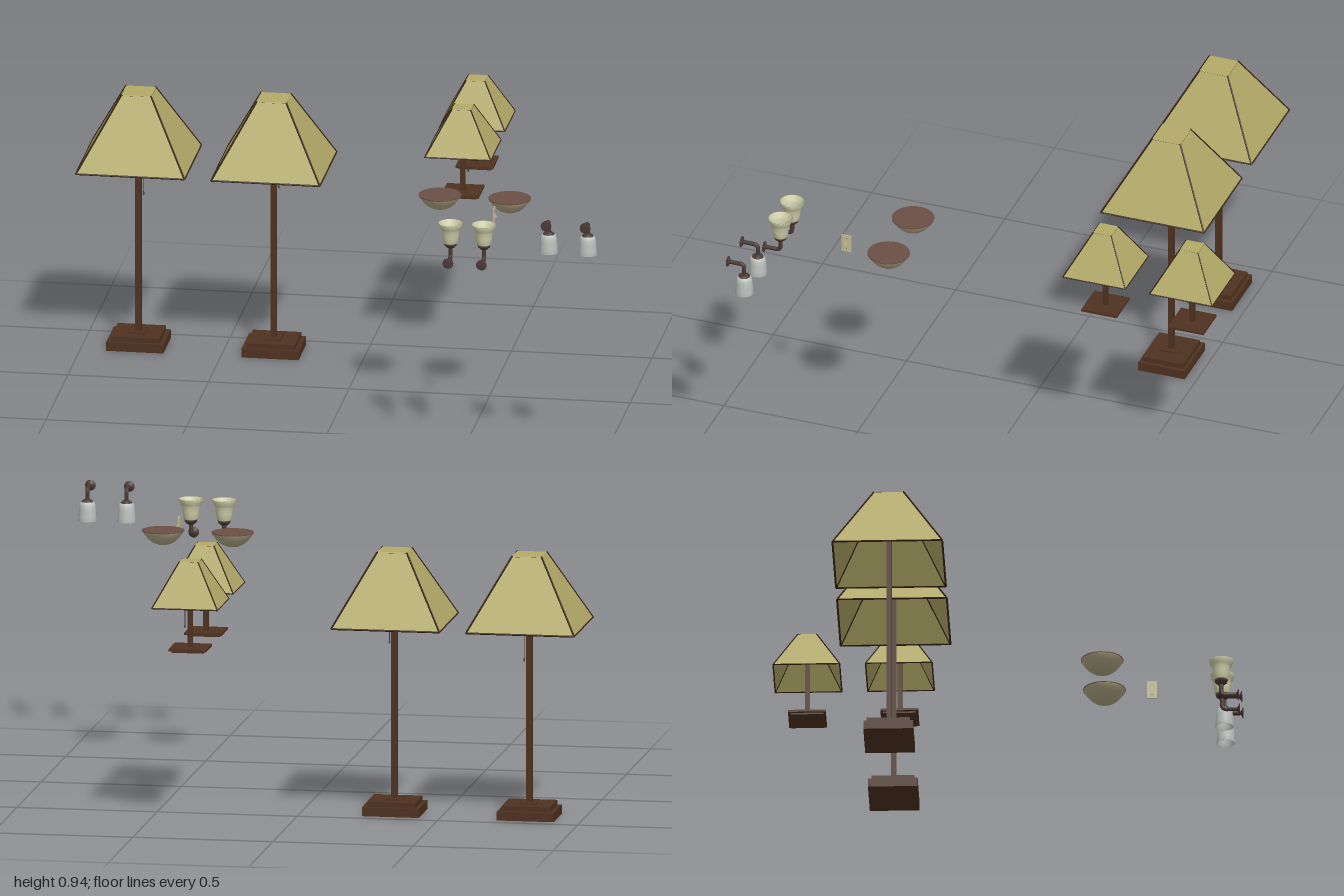
import * as THREE from 'three';

const mat = (color) => new THREE.MeshStandardMaterial({ color, side: THREE.DoubleSide });
const flat = (color) => new THREE.MeshStandardMaterial({ color, side: THREE.DoubleSide, flatShading: true });
const fabric = flat(0xb3aa68), wood = flat(0x4f3220), trim = flat(0x3a2818);
const bronze = mat(0x4a3a36), canopy = mat(0x6b4f45), bowlGlass = mat(0xb5aa88);
const creamGlass = mat(0xd0d0ac), greyGlass = mat(0xbcc2be), plateMat = mat(0xc4bf98);

function add(parent, name, geometry, material, x = 0, y = 0, z = 0) {
  const mesh = new THREE.Mesh(geometry, material);
  mesh.name = name;
  mesh.position.set(x, y, z);
  parent.add(mesh);
  return mesh;
}
const box = (w, h, d) => new THREE.BoxGeometry(w, h, d);
const lathe = (pts, seg = 28) => new THREE.LatheGeometry(pts.map(([r, y]) => new THREE.Vector2(r, y)), seg);

// Thin square bar between two points
function bar(parent, name, a, b, r, material) {
  const dir = b.clone().sub(a);
  const mesh = add(parent, name, new THREE.CylinderGeometry(r, r, dir.length(), 4), material);
  mesh.position.copy(a).add(b).multiplyScalar(0.5);
  mesh.quaternion.setFromUnitVectors(new THREE.Vector3(0, 1, 0), dir.normalize());
}

// Square tapered shade, open below, with dark strips along its edges
function shade(parent, y0, y1, bottom, top, r) {
  const g = new THREE.Group();
  g.name = 'shade';
  const panels = new THREE.CylinderGeometry(top * Math.SQRT2, bottom * Math.SQRT2, y1 - y0, 4, 1, true);
  panels.rotateY(Math.PI / 4);
  add(g, 'shadePanels', panels, fabric, 0, (y0 + y1) / 2, 0);
  add(g, 'shadeTop', box(top * 2, 0.002, top * 2), fabric, 0, y1 - 0.001, 0);
  const corner = (i, h, y) => new THREE.Vector3(
    [1, 1, -1, -1][i % 4] * h, y, [1, -1, -1, 1][i % 4] * h);
  for (let i = 0; i < 4; i++) {
    bar(g, 'shadeRib', corner(i, bottom, y0), corner(i, top, y1), r, trim);
    bar(g, 'shadeRim', corner(i, bottom, y0), corner(i + 1, bottom, y0), r, trim);
    bar(g, 'shadeTopRim', corner(i, top, y1 - r), corner(i + 1, top, y1 - r), r * 0.6, trim);
  }
  parent.add(g);
}

// Pull chain with a small weight
function chain(parent, x, y0, y1) {
  add(parent, 'pullChain', new THREE.CylinderGeometry(0.0013, 0.0013, y1 - y0, 6), bronze, x, (y0 + y1) / 2, 0);
  add(parent, 'chainWeight', new THREE.CylinderGeometry(0.002, 0.003, 0.014, 8), bronze, x, y0 + 0.007, 0);
}

// Bulb and socket hidden in the shade
function socket(parent, y, s) {
  add(parent, 'socket', new THREE.CylinderGeometry(0.018 * s, 0.014 * s, 0.04 * s, 12), bronze, 0, y, 0);
  add(parent, 'bulb', new THREE.SphereGeometry(0.022 * s, 14, 10), creamGlass, 0, y + 0.036 * s, 0);
}

function floorLamp(x, chainEnd) {
  const g = new THREE.Group();
  g.name = 'floorLamp';
  add(g, 'baseLower', box(0.203, 0.032, 0.175), wood, 0, 0.016, 0);
  add(g, 'baseUpper', box(0.172, 0.018, 0.152), wood, 0, 0.041, 0);
  add(g, 'poleFoot', box(0.06, 0.006, 0.07), wood, 0, 0.052, 0);
  add(g, 'pole', box(0.021, 0.75, 0.019), wood, 0, 0.42, 0);
  socket(g, 0.81, 1);
  shade(g, 0.685, 0.94, 0.193, 0.052, 0.0035);
  chain(g, 0.018, chainEnd, 0.8);
  g.position.set(x, 0, -0.372);
  return g;
}

function tableLamp(z) {
  const g = new THREE.Group();
  g.name = 'tableLamp';
  add(g, 'baseLower', box(0.115, 0.006, 0.115), wood, 0, 0.621, 0);
  add(g, 'baseUpper', box(0.133, 0.008, 0.133), wood, 0, 0.628, 0);
  add(g, 'pole', box(0.018, 0.22, 0.017), wood, 0, 0.74, 0);
  socket(g, 0.86, 0.7);
  shade(g, 0.785, 0.94, 0.117, 0.033, 0.0025);
  chain(g, 0.019, 0.7, 0.86);
  g.position.set(0.347, 0, z);
  return g;
}

// Shallow glass bowl under a round plate
function ceilingLight(x) {
  const g = new THREE.Group();
  g.name = 'ceilingLight';
  add(g, 'bowl', lathe([[0, 0.799], [0.02, 0.801], [0.038, 0.808], [0.052, 0.819],
    [0.062, 0.831], [0.07, 0.841], [0.074, 0.85]], 32), bowlGlass);
  add(g, 'ceilingPlate', new THREE.CylinderGeometry(0.075, 0.075, 0.003, 32), canopy, 0, 0.8505, 0);
  g.position.set(x, 0, 0.337);
  return g;
}

// Wall plate and bent arm; dir is +1 when the arm turns up, -1 when it turns down
function wallArm(g, y, dir, reach) {
  const plate = lathe([[0, 0.012], [0.007, 0.01], [0.012, 0.005], [0.019, 0.003], [0.019, 0], [0, 0]], 20);
  plate.rotateX(-Math.PI / 2);
  add(g, 'wallPlate', plate, bronze, 0, y, 0.062);
  const path = new THREE.CurvePath();
  const v = (py, pz) => new THREE.Vector3(0, py, pz);
  path.add(new THREE.LineCurve3(v(y, 0.06), v(y, 0.016)));
  path.add(new THREE.QuadraticBezierCurve3(v(y, 0.016), v(y, 0), v(y + dir * 0.016, 0)));
  path.add(new THREE.LineCurve3(v(y + dir * 0.016, 0), v(y + dir * reach, 0)));
  add(g, 'arm', new THREE.TubeGeometry(path, 24, 0.0075, 10), bronze);
}

// Sconce with its flared glass opening upward
function upSconce(x) {
  const g = new THREE.Group();
  g.name = 'upSconce';
  wallArm(g, 0.758, 1, 0.05);
  add(g, 'cup', lathe([[0, 0.797], [0.012, 0.798], [0.021, 0.806], [0.024, 0.815], [0, 0.818]], 20), bronze);
  add(g, 'glassShade', lathe([[0.02, 0.812], [0.026, 0.818], [0.029, 0.84], [0.032, 0.862],
    [0.036, 0.868], [0.04, 0.878], [0.044, 0.889], [0.041, 0.889], [0.034, 0.87], [0.029, 0.862], [0.025, 0.82]]), creamGlass);
  add(g, 'bulb', new THREE.SphereGeometry(0.02, 16, 12), greyGlass, 0, 0.845, 0);
  g.position.set(x, 0, 0.752);
  return g;
}

// Sconce with its bell glass hanging down
function downSconce(x) {
  const g = new THREE.Group();
  g.name = 'downSconce';
  wallArm(g, 0.914, -1, 0.05);
  add(g, 'cap', lathe([[0, 0.876], [0.012, 0.875], [0.02, 0.868], [0.022, 0.86], [0, 0.858]], 20), bronze);
  add(g, 'glassShade', lathe([[0.016, 0.868], [0.024, 0.864], [0.028, 0.855], [0.03, 0.84],
    [0.031, 0.815], [0.033, 0.798], [0.03, 0.798], [0.028, 0.82], [0.025, 0.855]]), greyGlass);
  add(g, 'bulb', new THREE.SphereGeometry(0.018, 16, 12), creamGlass, 0, 0.835, 0);
  g.position.set(x, 0, 0.752);
  return g;
}

// Thin upright plate with a small toggle
function wallSwitch() {
  const g = new THREE.Group();
  g.name = 'wallSwitch';
  add(g, 'switchPlate', box(0.004, 0.066, 0.036), plateMat);
  add(g, 'toggle', box(0.008, 0.012, 0.005), plateMat, 0.004, 0.002, 0).rotation.z = 0.4;
  for (const y of [-0.02, 0.02]) {
    add(g, 'screw', new THREE.CylinderGeometry(0.0016, 0.0016, 0.005, 8), bronze, 0, y, 0).rotation.z = Math.PI / 2;
  }
  g.position.set(0.595, 0.837, 0.505);
  return g;
}

export function createModel() {
  const model = new THREE.Group();
  model.name = 'lampSet';
  model.add(floorLamp(-0.806, 0.555), floorLamp(-0.325, 0.605));
  for (const z of [-0.698, -0.373]) model.add(tableLamp(z));
  for (const x of [0.376, 0.624]) model.add(ceilingLight(x));
  for (const x of [0.478, 0.597]) model.add(upSconce(x));
  for (const x of [0.827, 0.966]) model.add(downSconce(x));
  model.add(wallSwitch());
  return model;
}
